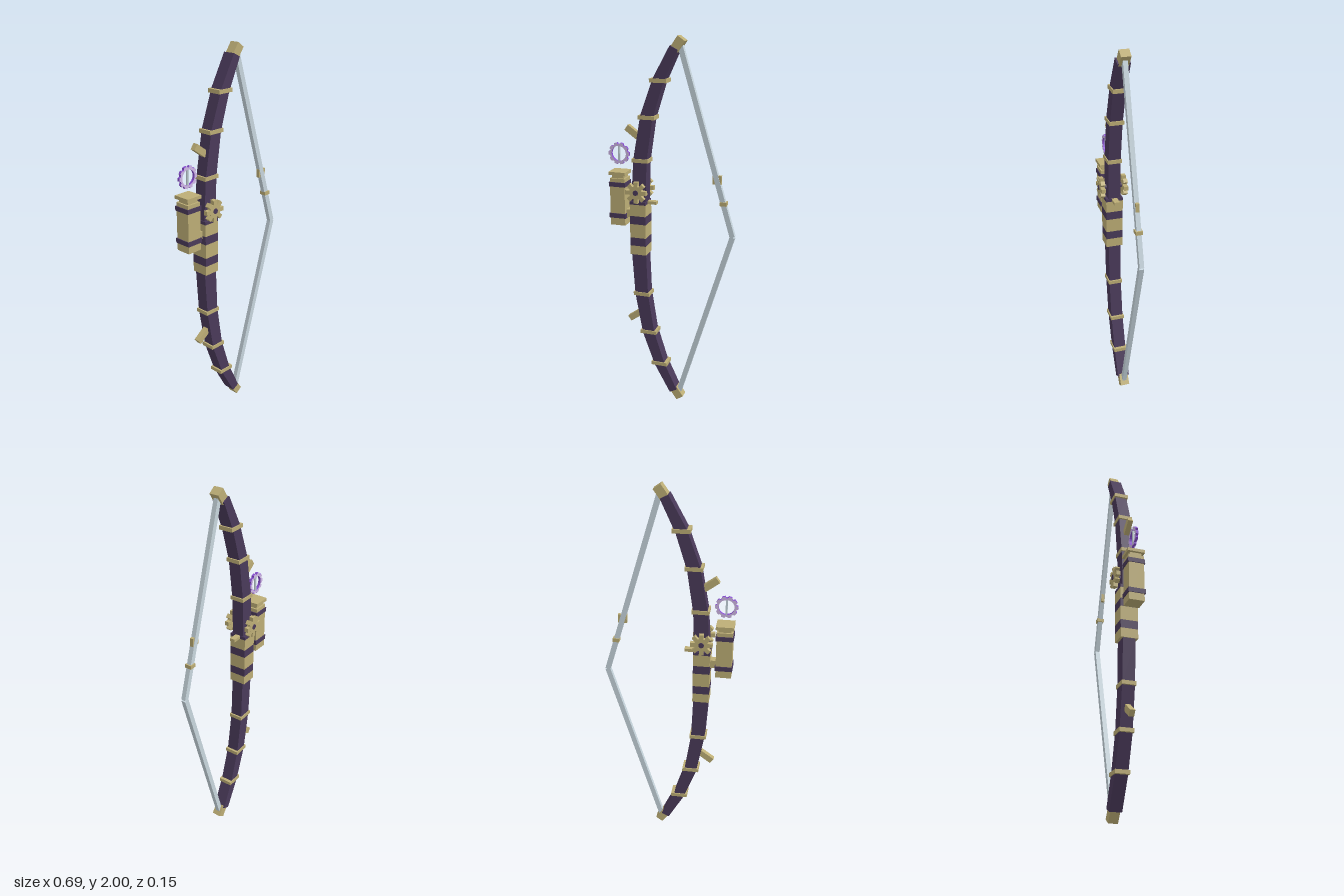
import * as THREE from 'three';

const mat = (name, color) => {
  const m = new THREE.MeshStandardMaterial({ color });
  m.name = name;
  return m;
};

export function createModel() {
  const root = new THREE.Group();
  root.name = 'bow';
  const brass = mat('brass', 0xbdae76);
  const wood = mat('dark purple wood', 0x4a3a5a);
  const cord = mat('pale steel cord', 0xc8d6de);
  const violet = mat('violet', 0x8a50d4);
  const lavender = mat('lavender', 0xd4bcec);

  const add = (name, geo, material, x, y, z = 0, rz = 0, parent = root) => {
    const m = new THREE.Mesh(geo, material);
    m.name = name;
    m.position.set(x, y, z);
    m.rotation.z = rz;
    parent.add(m);
    return m;
  };
  const box = (name, material, w, h, d, x, y, z = 0, rz = 0, parent = root) =>
    add(name, new THREE.BoxGeometry(w, h, d), material, x, y, z, rz, parent);
  const extrude = (shape, depth) =>
    new THREE.ExtrudeGeometry(shape, { depth, bevelEnabled: false, curveSegments: 10 }).translate(0, 0, -depth / 2);
  // Toothed disc with a round hole; each tooth is a list of [radius, angle]
  const toothed = (count, tooth, hole) => {
    const points = [];
    for (let i = 0; i < count; i++) {
      for (const [r, o] of tooth) {
        const a = i * Math.PI * 2 / count + o;
        points.push(new THREE.Vector2(r * Math.cos(a), r * Math.sin(a)));
      }
    }
    const shape = new THREE.Shape(points);
    shape.holes.push(new THREE.Path().absarc(0, 0, hole, 0, Math.PI * 2, true));
    return shape;
  };

  // Limbs: faceted, tapered stave mirrored about y = 1 (x, y, width)
  const half = [
    [0.02, 1.943, 0.045], [-0.061, 1.783, 0.058], [-0.124, 1.597, 0.067],
    [-0.161, 1.372, 0.073], [-0.173, 1.14, 0.08],
  ];
  const stave = [...half, ...half.map(([x, y, w]) => [x, 2 - y, w]).reverse()];
  const side = (s) => stave.map(([x, y, w], i) => {
    const a = stave[Math.max(i - 1, 0)], b = stave[Math.min(i + 1, stave.length - 1)];
    const t = new THREE.Vector2(b[0] - a[0], b[1] - a[1]).normalize();
    return new THREE.Vector2(x - s * t.y * w / 2, y + s * t.x * w / 2);
  });
  add('limbs', extrude(new THREE.Shape([...side(1), ...side(-1).reverse()]), 0.066), wood, 0, 0);

  // Parts repeated on the upper and lower limb
  for (const s of [1, -1]) {
    const Y = (y) => 1 + s * (y - 1);
    for (const [x, y] of half.slice(1, 4)) box('limbBand', brass, 0.09, 0.02, 0.076, x, Y(y));
    box('limbTip', brass, 0.045, 0.067, 0.05, 0.037, Y(1.96), 0, -s * 0.61);
    box('limbFin', brass, 0.085, 0.034, 0.027, -0.207, Y(1.514), 0, -s * 0.63);
    // Drawn string
    const dx = 0.331 - 0.047, dy = 1.95 - 1;
    box('bowString', cord, 0.027, Math.hypot(dx, dy), 0.024,
      0.047 + dx / 2, Y(1 + dy / 2), 0, s * Math.atan2(dx, dy));
  }

  // Sights on the string
  box('stringSight', brass, 0.046, 0.045, 0.018, 0.243, 1.297);
  box('stringNock', brass, 0.035, 0.02, 0.036, 0.28, 1.175);

  // Grip: stacked brass and wood rings
  const levels = [0.86, 0.91, 0.955, 1.03, 1.075, 1.138, 1.155];
  for (let i = 0; i < levels.length - 1; i++) {
    const w = i % 2 ? wood : brass;
    box('gripRing', w, 0.087, levels[i + 1] - levels[i], 0.092, -0.173, (levels[i] + levels[i + 1]) / 2);
  }
  box('arrowRest', brass, 0.06, 0.016, 0.03, -0.11, 1.147);

  // Gears on an axle across the stave
  const gear = toothed(8, [[0.035, -0.3], [0.058, -0.2], [0.058, 0.2], [0.035, 0.3]], 0.014);
  for (const s of [1, -1]) add('gear', extrude(gear, 0.023), brass, -0.173, 1.21, s * 0.0615);
  add('gearAxle', new THREE.CylinderGeometry(0.0145, 0.0145, 0.152, 8).rotateX(Math.PI / 2), wood, -0.173, 1.21);

  // Canister beside the grip
  const can = new THREE.Group();
  can.name = 'canister';
  can.position.x = -0.287;
  root.add(can);
  const part = (name, m, w, y0, y1) => box(name, m, w, y1 - y0, w, 0, (y0 + y1) / 2, 0, 0, can);
  part('canisterBody', brass, 0.082, 1.015, 1.27);
  part('canisterNeck', brass, 0.064, 1.27, 1.288);
  part('canisterCap', brass, 0.092, 1.288, 1.305);
  part('canisterBand', wood, 0.091, 1.055, 1.08);
  part('canisterBand', wood, 0.091, 1.226, 1.25);
  box('canisterBracket', brass, 0.05, 0.042, 0.044, -0.228, 1.08);

  // Notched ring floating over the canister, lavender faces and violet rim
  const ring = new THREE.Group();
  ring.name = 'floatingRing';
  ring.position.set(-0.288, 1.397, 0);
  root.add(ring);
  const notched = toothed(10, [[0.05, -0.24], [0.058, -0.15], [0.058, 0.15], [0.05, 0.24]], 0.04);
  add('ringBand', extrude(notched, 0.014), [lavender, violet], 0, 0, 0, 0, ring);
  box('ringNeedle', cord, 0.01, 0.09, 0.01, 0, 0, 0, 0, ring);

  return root;
}
